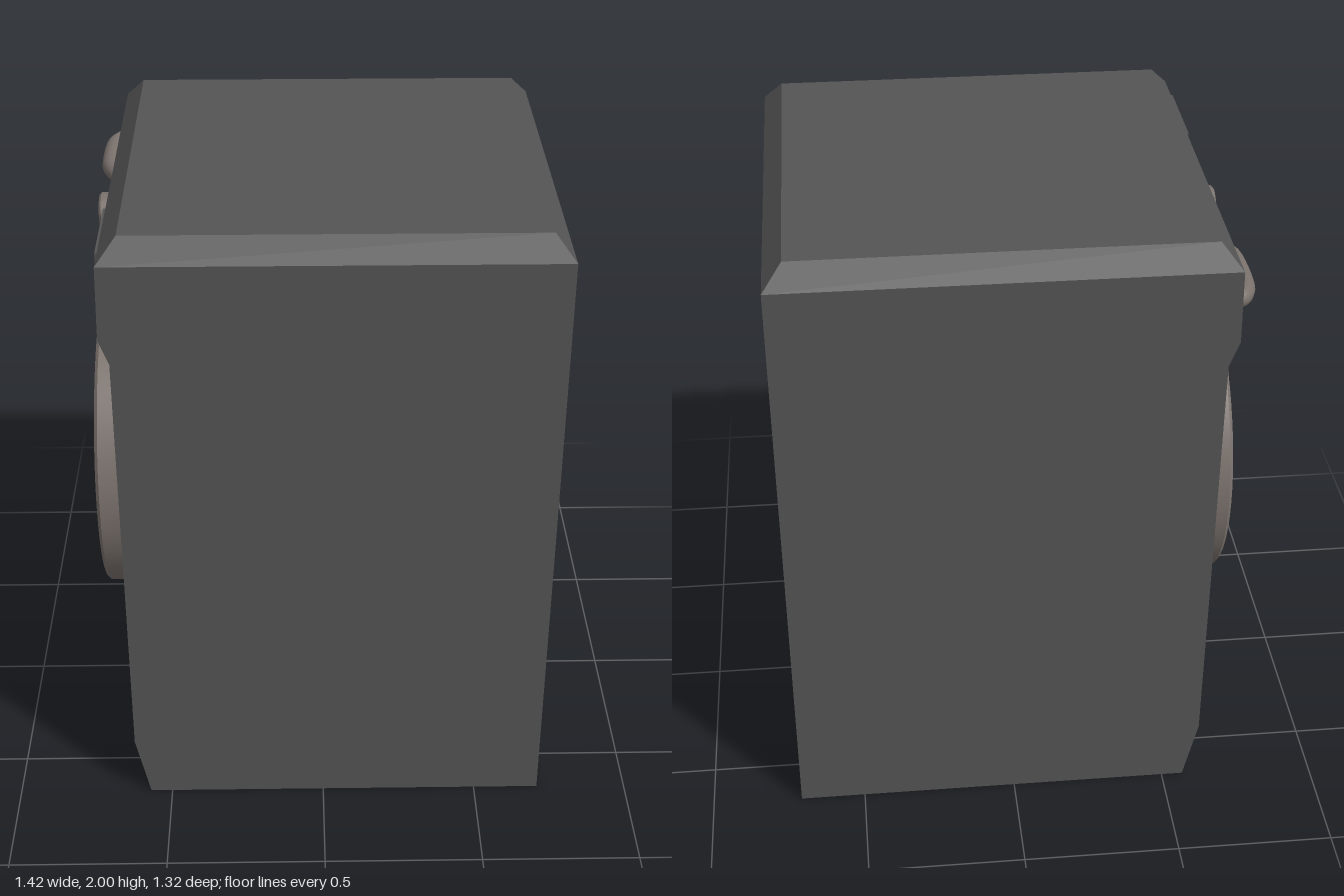
import * as THREE from 'three';
import { toCreasedNormals } from 'three/addons/utils/BufferGeometryUtils.js';

const mat = (name, color, side = THREE.FrontSide) => {
  const m = new THREE.MeshStandardMaterial({ color, side });
  m.name = name;
  return m;
};

export function createModel() {
  const group = new THREE.Group();
  const casing = mat('casing grey', 0x545454);
  const trim = mat('warm metal trim', 0x7a716c, THREE.DoubleSide);
  const dark = mat('dark glass', 0x2a2a2a, THREE.DoubleSide);
  const cloth = mat('laundry grey', 0x4c4c4c, THREE.DoubleSide);

  const add = (name, geometry, material, x = 0, y = 0, z = 0) => {
    const mesh = new THREE.Mesh(geometry, material);
    mesh.name = name;
    mesh.position.set(x, y, z);
    group.add(mesh);
    return mesh;
  };
  // turned parts whose axis points out of the door side (-x)
  const turned = (points, segments, crease) => {
    const g = new THREE.LatheGeometry(points.map(p => new THREE.Vector2(...p)), segments);
    return toCreasedNormals(g.rotateZ(Math.PI / 2), crease);
  };

  // cabinet: side profile with toe kick and raised control strip
  const profile = new THREE.Shape([
    [-0.57, 0], [0.71, 0], [0.71, 1.93], [-0.64, 1.93], [-0.645, 1.70], [-0.615, 1.62], [-0.615, 0.21],
  ].map(p => new THREE.Vector2(...p)));
  add('cabinet', new THREE.ExtrudeGeometry(profile, { depth: 1.324, bevelEnabled: false }), casing, 0, 0, -0.662);

  // bevelled lid
  const lid = new THREE.BoxGeometry(1.35, 0.07, 1.324);
  const pos = lid.attributes.position;
  for (let i = 0; i < pos.count; i++) {
    if (pos.getY(i) > 0) {
      pos.setX(i, pos.getX(i) - Math.sign(pos.getX(i)) * 0.06);
      pos.setZ(i, Math.sign(pos.getZ(i)) * 0.605);
    }
  }
  lid.computeVertexNormals();
  add('lid', lid, casing, 0.035, 1.965, 0);

  // door ring with a funnel-shaped inner face
  add('doorRing', turned([
    [0.49, 0], [0.49, 0.08], [0.48, 0.09], [0.46, 0.09], [0.40, 0.07], [0.35, 0.04], [0.345, 0],
  ], 64, 0.6), trim, -0.615, 0.99, 0);

  // door glass and the laundry showing behind it
  const glass = new THREE.CircleGeometry(0.35, 48).rotateY(-Math.PI / 2);
  add('doorGlass', glass, dark, -0.63, 0.99, 0);
  const laundry = [
    [-0.20, 0.98, 0.10], [-0.17, 1.14, 0.06], [-0.14, 0.82, 0.07],
    [0.22, 1.06, 0.10], [0.17, 0.82, 0.07], [0.08, 1.16, 0.05],
  ];
  laundry.forEach(([z, y, r], i) => {
    const patch = new THREE.CircleGeometry(r, 7, i).rotateY(-Math.PI / 2);
    add('laundryPatch', patch, cloth, -0.634, y, z);
  });

  // program knob
  add('knob', turned([
    [0.06, 0], [0.06, 0.038], [0.053, 0.045], [0, 0.045],
  ], 32, 0.5), trim, -0.64, 1.8, 0.005);

  // drawer handle: bent tube
  const path = new THREE.CatmullRomCurve3([
    [-0.63, -0.285], [-0.655, -0.295], [-0.675, -0.335], [-0.68, -0.38],
    [-0.68, -0.49], [-0.675, -0.535], [-0.655, -0.575], [-0.63, -0.585],
  ].map(([x, z]) => new THREE.Vector3(x, 1.8, z)));
  add('drawerHandle', new THREE.TubeGeometry(path, 40, 0.03, 16), trim);

  // display: thin frame and screen
  add('displayFrame', new THREE.BoxGeometry(0.008, 0.22, 0.3), casing, -0.644, 1.815, 0.41);
  add('displayScreen', new THREE.BoxGeometry(0.008, 0.196, 0.276), dark, -0.6455, 1.815, 0.41);

  return group;
}
